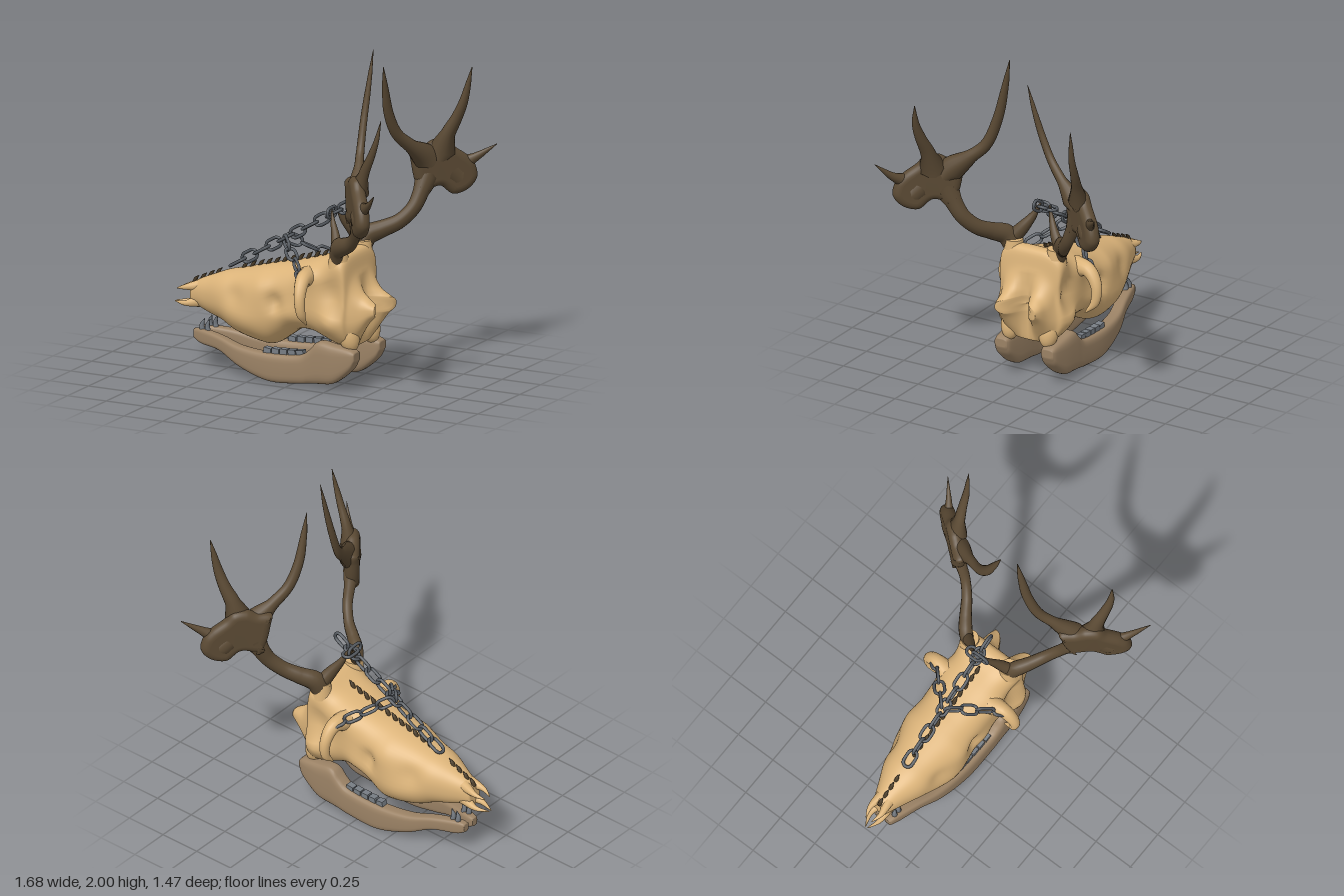
import * as THREE from 'three';
import { mergeVertices } from 'three/addons/utils/BufferGeometryUtils.js';

const V = (x, y, z) => new THREE.Vector3(x, y, z);
const mat = (color) => new THREE.MeshStandardMaterial({ color });
const bone = mat(0xdcb47a), jawBone = mat(0x9b8265), antlerMat = mat(0x5b4a34);
const iron = mat(0x555a60), thornMat = mat(0x4a3c28), toothMat = mat(0x777d84);
bone.side = antlerMat.side = THREE.DoubleSide;

function add(parent, name, geo, material) {
  const m = new THREE.Mesh(geo, material);
  m.name = name;
  parent.add(m);
  return m;
}

// Smooth closed body along x. Section: [x, top, bottom, halfWidth, zCentre, squareness]
function loft(sections, steps, radial, warp = (v) => v) {
  const spline = (k) => new THREE.CatmullRomCurve3(
    sections.map((s) => V(s[k], s[k + 1], s[k + 2])), false, 'catmullrom', 0.5);
  const a = spline(0), b = spline(3), cap = 4, pos = [], idx = [];
  for (let i = -cap; i <= steps + cap; i++) {
    const t = THREE.MathUtils.clamp(i / steps, 0, 1);
    const size = 1 - 0.999 * Math.max(-i, i - steps, 0) / cap;
    const p = a.getPoint(t), q = b.getPoint(t);
    for (let j = 0; j < radial; j++) {
      const ang = (j / radial) * Math.PI * 2;
      const pw = (v) => Math.sign(v) * Math.pow(Math.abs(v), q.z) * size;
      const v = V(p.x, (p.y + p.z) / 2 + pw(Math.sin(ang)) * (p.y - p.z) / 2, q.y + pw(Math.cos(ang)) * q.x);
      pos.push(...warp(v).toArray());
    }
  }
  for (let i = 0; i < steps + 2 * cap; i++) for (let j = 0; j < radial; j++) {
    const k = (j + 1) % radial, A = i * radial, B = A + radial;
    idx.push(A + j, B + j, A + k, B + j, B + k, A + k);
  }
  const g = new THREE.BufferGeometry();
  g.setAttribute('position', new THREE.Float32BufferAttribute(pos, 3));
  g.setIndex(idx);
  g.computeVertexNormals();
  return g;
}

// Tube whose radius follows a list of values, thinned along a direction if one is given
function taperTube(points, radii, seg = 28, radial = 14, thin = V(0, 0, 0)) {
  const curve = new THREE.CatmullRomCurve3(points);
  const g = new THREE.TubeGeometry(curve, seg, 1, radial);
  const pos = g.attributes.position, v = V(0, 0, 0);
  for (let i = 0; i <= seg; i++) {
    const c = curve.getPointAt(i / seg), f = (i / seg) * (radii.length - 1);
    const k = Math.min(Math.floor(f), radii.length - 2);
    const r = THREE.MathUtils.lerp(radii[k], radii[k + 1], f - k);
    for (let j = 0; j <= radial; j++) {
      const n = i * (radial + 1) + j;
      v.fromBufferAttribute(pos, n).sub(c).multiplyScalar(r);
      v.addScaledVector(thin, -0.35 * v.dot(thin)).add(c);
      pos.setXYZ(n, v.x, v.y, v.z);
    }
  }
  return g;
}

// Hollows and swellings of the skull sides: [x, y, radius, amount]
const relief = [[-0.1, 0.47, 0.05, -0.035], [0.27, 0.55, 0.07, -0.04], [0.0, 0.4, 0.07, 0.02],
  [0.11, 0.65, 0.06, 0.025], [0.27, 0.4, 0.08, 0.045], [-0.3, 0.33, 0.09, 0.015],
  [-0.38, 0.47, 0.07, -0.025], [-0.2, 0.56, 0.07, 0.012], [0.3, 0.74, 0.06, 0.015]];

function skullWarp(v) {
  const bulge = relief.reduce((sum, [x, y, r, d]) =>
    sum + d * Math.exp(-((v.x - x) ** 2 + (v.y - y) ** 2) / (r * r)), 0);
  const z = v.z;
  v.z += bulge * THREE.MathUtils.clamp(z / 0.1, -1, 1);
  // Midline cleft parts the back into two lobes
  v.x -= Math.max(0, v.x - 0.37) * Math.exp(-((z / 0.06) ** 2));
  return v;
}

function buildSkull(root) {
  const skull = new THREE.Group();
  skull.name = 'skull';
  root.add(skull);
  add(skull, 'cranium', loft([
    [-0.725, 0.475, 0.345, 0.045, 0, 0.9], [-0.67, 0.505, 0.335, 0.07, 0, 0.9],
    [-0.6, 0.535, 0.31, 0.1, 0, 0.9], [-0.5, 0.575, 0.28, 0.145, 0, 0.9],
    [-0.4, 0.6, 0.23, 0.178, 0, 0.9], [-0.25, 0.64, 0.195, 0.205, 0, 0.85],
    [-0.17, 0.66, 0.19, 0.207, 0, 0.85], [-0.1, 0.675, 0.235, 0.2, 0, 0.8],
    [0, 0.7, 0.3, 0.197, 0, 0.75], [0.1, 0.73, 0.305, 0.2, 0, 0.7],
    [0.2, 0.76, 0.275, 0.2, 0, 0.6], [0.29, 0.8, 0.25, 0.205, 0, 0.5],
    [0.345, 0.78, 0.25, 0.205, 0, 0.5], [0.37, 0.67, 0.25, 0.18, 0, 0.65],
    [0.42, 0.59, 0.31, 0.16, 0, 0.75], [0.475, 0.545, 0.39, 0.148, 0, 0.75],
    [0.515, 0.52, 0.43, 0.135, 0, 0.75],
  ], 96, 56, skullWarp), bone);
  for (const s of [1, -1]) {
    const socket = add(skull, 'jawSocket', new THREE.SphereGeometry(1, 24, 16), bone);
    socket.position.set(0.345, 0.32, 0.125 * s);
    socket.scale.set(0.06, 0.1, 0.06);
    socket.rotation.z = 0.25;
    const stub = add(skull, 'pedicle', new THREE.CylinderGeometry(0.052, 0.062, 0.1, 20), bone);
    stub.position.set(0.29, 0.765, 0.142 * s);
    add(skull, 'upperNoseProng', taperTube(
      [V(-0.67, 0.465, 0.025 * s), V(-0.76, 0.447, 0.038 * s), V(-0.82, 0.43, 0.02 * s)],
      [0.035, 0.018, 0.003], 12), bone);
    add(skull, 'lowerNoseProng', taperTube(
      [V(-0.67, 0.375, 0.025 * s), V(-0.76, 0.352, 0.035 * s), V(-0.84, 0.35, 0.008 * s)],
      [0.038, 0.016, 0.003], 12), bone);
    // Downcurved horn on the cheek
    add(skull, 'cheekHorn', taperTube([V(0.1, 0.64, 0.15 * s), V(0.115, 0.64, 0.25 * s),
      V(0.125, 0.56, 0.305 * s), V(0.13, 0.46, 0.3 * s), V(0.13, 0.38, 0.235 * s)],
    [0.065, 0.042, 0.033, 0.027, 0.004]), bone);
  }
  // Row of thorns down the midline
  const ridge = [-0.71, -0.66, -0.61, -0.56];
  for (let x = -0.39; x < 0.22; x += 0.052) ridge.push(x);
  for (const x of ridge) {
    const y = x < -0.5 ? 0.572 + (x + 0.5) * 0.43 : 0.572 + (x + 0.5) * 0.265;
    add(skull, 'ridgeThorn', taperTube(
      [V(x - 0.012, y - 0.012, 0), V(x, y + 0.013, 0), V(x + 0.022, y + 0.035, 0)],
      [0.013, 0.011, 0.001], 6, 8), thornMat);
  }
}

function buildJaw(root) {
  const jaw = new THREE.Group();
  jaw.name = 'lowerJaw';
  root.add(jaw);
  const profile = [[-0.695, 0.215, 0.16, 0.022, 0.038], [-0.64, 0.22, 0.135, 0.032, 0.047],
    [-0.5, 0.205, 0.12, 0.038, 0.085], [-0.35, 0.175, 0.055, 0.043, 0.127],
    [-0.15, 0.165, 0, 0.047, 0.152], [0.05, 0.18, 0.01, 0.05, 0.157], [0.12, 0.22, 0.02, 0.052, 0.157],
    [0.18, 0.275, 0.025, 0.054, 0.157], [0.28, 0.265, 0.04, 0.054, 0.157],
    [0.38, 0.25, 0.12, 0.05, 0.155], [0.415, 0.235, 0.18, 0.04, 0.155]];
  for (const s of [1, -1]) {
    add(jaw, 'jawBar', loft(profile.map(([x, t, b, w, z]) => [x, t, b, w, z * s, 0.55]), 50, 28), jawBone);
    for (let i = 0; i < 5; i++) {
      const tooth = add(jaw, 'molar', new THREE.BoxGeometry(0.046, 0.042, 0.04), toothMat);
      tooth.position.set(-0.16 + i * 0.054, 0.172 + i * 0.003, (0.15 + i * 0.002) * s);
      tooth.rotation.z = 0.06 * (i - 2);
    }
    for (const x of [-0.64, -0.605]) {
      add(jaw, 'frontTooth', taperTube([V(x, 0.2, 0.048 * s), V(x - 0.005, 0.24, 0.048 * s),
        V(x + 0.01, 0.28, 0.045 * s)], [0.018, 0.015, 0.002], 8, 8), toothMat);
    }
  }
}

function buildAntler(root, s) {
  const antler = new THREE.Group();
  antler.name = s > 0 ? 'leftAntler' : 'rightAntler';
  root.add(antler);
  const across = V(1, 0, -0.8 * s).normalize();
  const tine = (name, pts, radii) => add(antler, name,
    taperTube(pts.map(([x, y, z]) => V(x, y, z * s)), radii, 36, 16, across), antlerMat);
  // The two sides differ slightly in tine length
  const [tall, mid, outer] = s > 0 ? [2.0, 1.72, 1.335] : [1.87, 1.8, 1.31];

  tine('stem', [[0.28, 0.77, 0.15], [0.305, 0.835, 0.185], [0.37, 0.868, 0.235], [0.45, 0.91, 0.29],
    [0.51, 0.985, 0.35], [0.535, 1.08, 0.4], [0.555, 1.17, 0.44], [0.575, 1.24, 0.47]],
  [0.06, 0.06, 0.05, 0.045, 0.045, 0.05, 0.075, 0.02]);
  tine('browTine', [[0.285, 0.81, 0.16], [0.25, 0.88, 0.105], [0.21, 0.95, 0.06], [0.185, 1.02, 0.03]],
    [0.05, 0.04, 0.024, 0.004]);
  tine('tallTine', [[0.585, 1.18, 0.47], [0.555, 1.27, 0.41], [0.51, 1.355, 0.31], [0.472, 1.44, 0.22],
    [0.457, 1.44 + (tall - 1.44) * 0.3, 0.15], [0.462, 1.44 + (tall - 1.44) * 0.65, 0.1], [0.47, tall, 0.06]],
  [0.02, 0.08, 0.04, 0.034, 0.031, 0.027, 0.018, 0.002]);
  tine('middleTine', [[0.59, 1.2, 0.48], [0.615, 1.3, 0.49], [0.65, 1.4, 0.5], [0.7, 1.5, 0.515],
    [0.74, 1.6, 0.523], [s > 0 ? 0.765 : 0.785, mid, s > 0 ? 0.515 : 0.54]],
  [0.02, 0.085, 0.045, 0.035, 0.028, 0.018, 0.002]);
  tine('outerTine', [[0.645, 1.19, 0.55], [0.705, 1.215, 0.62], [0.76, 1.25, 0.665], [0.84, outer, 0.735]],
    [0.02, 0.05, 0.028, 0.015, 0.002]);
  tine('palmKnob', [[0.62, 1.2, 0.52], [0.66, 1.14, 0.575], [0.69, 1.1, 0.61], [0.71, 1.06, 0.635]],
    [0.03, 0.075, 0.075, 0.05, 0.005]);

  // Lens-thin palm standing in the diagonal plane; outline given as (z, y)
  const outline = [[0.4, 1.06], [0.44, 1.075], [0.5, 1.09], [0.56, 1.035], [0.63, 1.055], [0.675, 1.12],
    [0.665, 1.2], [0.63, 1.255], [0.57, 1.31], [0.53, 1.36], [0.47, 1.365], [0.42, 1.335], [0.355, 1.32],
    [0.36, 1.25], [0.375, 1.15]].map(([z, y]) => new THREE.Vector2(z * Math.hypot(1, 0.8), y));
  const shape = new THREE.Shape().moveTo(outline[0].x, outline[0].y);
  shape.splineThru([...outline.slice(1), outline[0]]);
  let palm = new THREE.ExtrudeGeometry(shape, { depth: 0.004, curveSegments: 60, bevelEnabled: true,
    bevelThickness: 0.04, bevelSize: 0.045, bevelOffset: -0.045, bevelSegments: 7 });
  palm.translate(0, 0, -0.002).rotateY(-s * Math.atan2(1, 0.8)).translate(0.2, 0, 0);
  palm.deleteAttribute('uv');
  palm.deleteAttribute('normal');
  palm = mergeVertices(palm, 1e-4);
  palm.computeVertexNormals();
  add(antler, 'palm', palm, antlerMat);
}

// One oval link lying in the xy plane, long along x
function linkGeometry() {
  const pts = [];
  for (let i = 0; i < 20; i++) {
    const a = ((i + 0.5) / 20) * Math.PI * 2;
    pts.push(V(Math.cos(a) * 0.028 + Math.sign(Math.cos(a)) * 0.024, Math.sin(a) * 0.028, 0));
  }
  return new THREE.TubeGeometry(new THREE.CatmullRomCurve3(pts, true), 40, 0.0095, 8, true);
}

function buildChain(root, name, from, to, count, firstFlat) {
  const chain = new THREE.Group(), geo = linkGeometry();
  chain.name = name;
  root.add(chain);
  const dir = to.clone().sub(from).normalize();
  const side = Math.abs(dir.z) > 0.9 ? V(1, 0, 0) : V(0, 1, 0).cross(dir).normalize();
  const up = dir.clone().cross(side).normalize();
  for (let i = 0; i < count; i++) {
    const flat = (i % 2 === 0) === firstFlat;
    const y = flat ? side : up;
    const link = add(chain, 'link', geo, iron);
    link.quaternion.setFromRotationMatrix(new THREE.Matrix4().makeBasis(dir, y, dir.clone().cross(y)));
    link.position.lerpVectors(from, to, i / (count - 1));
  }
}

export function createModel() {
  const root = new THREE.Group();
  root.name = 'chainedAntleredSkull';
  buildSkull(root);
  buildJaw(root);
  for (const s of [1, -1]) {
    buildAntler(root, s);
    buildChain(root, 'sideChain', V(-0.1, 0.79, 0.045 * s), V(0.1, 0.655, 0.235 * s), 4, false);
  }
  buildChain(root, 'mainChain', V(-0.44, 0.625, 0), V(0.26, 1.035, 0), 10, true);
  buildChain(root, 'crossChain', V(0.18, 1.0, -0.02), V(0.18, 1.0, 0.02), 2, true);
  return root;
}
